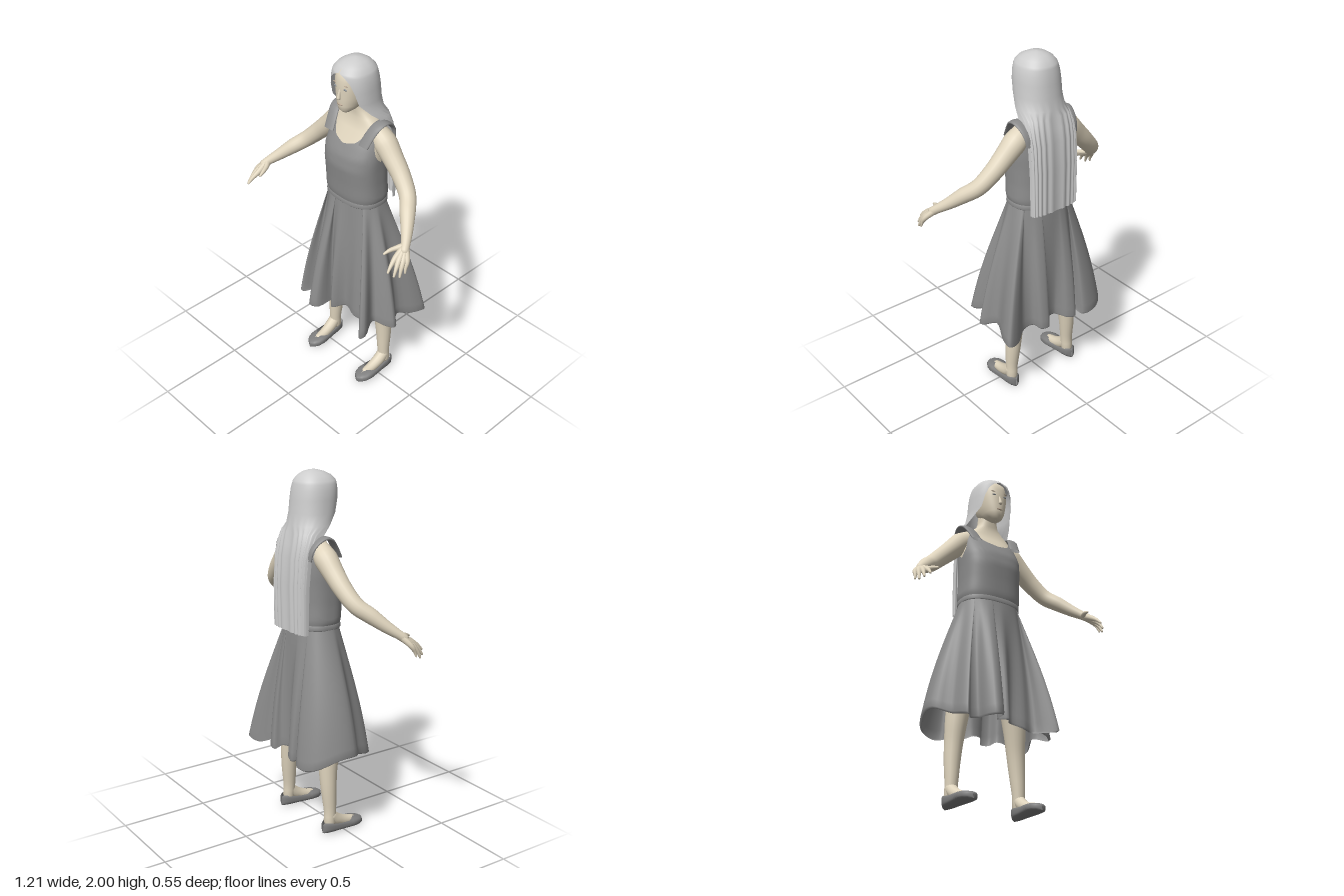
import * as THREE from 'three';

const V = (x, y, z) => new THREE.Vector3(x, y, z);
const mat = (name, color, side = THREE.FrontSide) => {
  const m = new THREE.MeshStandardMaterial({ color, side });
  m.name = name;
  return m;
};

// Skin between rows of points; rows run upward, columns counterclockwise
function loft(rows, closed = true) {
  const n = rows[0].length, pos = [], idx = [];
  rows.forEach(r => r.forEach(p => pos.push(p.x, p.y, p.z)));
  for (let i = 0; i < rows.length - 1; i++) {
    for (let j = 0; j < (closed ? n : n - 1); j++) {
      const k = (j + 1) % n, a = i * n + j, b = i * n + k;
      idx.push(a, b, a + n, b, b + n, a + n);
    }
  }
  const g = new THREE.BufferGeometry();
  g.setAttribute('position', new THREE.Float32BufferAttribute(pos, 3));
  g.setIndex(idx);
  g.computeVertexNormals();
  return g;
}

// Point on a rounded horizontal section; angle a starts at +z and turns to +x
const pw = (v, p) => Math.sign(v) * Math.pow(Math.abs(v), p);
function sect(y, w, zF, zB, a, p = 0.8) {
  return V(w * pw(Math.sin(a), p), y, (zF + zB) / 2 + (zF - zB) / 2 * pw(Math.cos(a), p));
}
const angles = n => Array.from({ length: n }, (_, i) => i / n * Math.PI * 2);
const rings = (rows, n, p) => loft(rows.map(r => angles(n).map(a => sect(...r, a, p))));

// Piecewise-linear lookup in rows keyed by their first number
function lookup(table, t) {
  let i = 0;
  while (i < table.length - 2 && t > table[i + 1][0]) i++;
  const a = table[i], b = table[i + 1];
  const f = THREE.MathUtils.clamp((t - a[0]) / (b[0] - a[0]), 0, 1);
  return a.map((v, k) => v + (b[k] - v) * f);
}

// Tapered round limb through [x, y, z, radius] points, with rounded ends
function limb(pts, seg = 20, sides = 14) {
  const curve = new THREE.CatmullRomCurve3(pts.map(p => V(p[0], p[1], p[2])));
  const fr = curve.computeFrenetFrames(seg), rows = [];
  const ring = (c, r, i) => angles(sides).map(a => c.clone()
    .addScaledVector(fr.normals[i], r * Math.cos(a)).addScaledVector(fr.binormals[i], r * Math.sin(a)));
  for (let i = 0; i <= seg; i++) {
    const t = i / seg, u = curve.getUtoTmapping(t) * (pts.length - 1);
    const k = Math.min(Math.floor(u), pts.length - 2);
    const r = THREE.MathUtils.lerp(pts[k][3], pts[k + 1][3], u - k), c = curve.getPointAt(t);
    const end = s => [[0.75, 0.55], [0.001, 0.8]].map(([q, d]) =>
      ring(c.clone().addScaledVector(fr.tangents[i], s * d * r), r * q, i));
    if (i === 0) rows.push(...end(-1).reverse());
    rows.push(ring(c, r, i));
    if (i === seg) rows.push(...end(1));
  }
  return loft(rows);
}

// Torso sections: y, half width, front z, back z
const TORSO = [
  [1.18, 0.172, 0.065, -0.175], [1.21, 0.182, 0.074, -0.182], [1.3, 0.178, 0.08, -0.178],
  [1.4, 0.178, 0.09, -0.18], [1.47, 0.18, 0.08, -0.18], [1.53, 0.175, 0.05, -0.176],
  [1.6, 0.165, 0.005, -0.165], [1.66, 0.15, -0.03, -0.13]];
// Height of the dress edge by angle from the front: neckline, strap, armhole, strap, back
const EDGE = [[0, 1.53], [0.35, 1.55], [0.7, 1.61], [1.0, 1.62], [1.3, 1.5], [1.57, 1.45],
  [1.85, 1.5], [2.1, 1.61], [2.4, 1.62], [2.7, 1.58], [3.15, 1.56]];
// Skirt hem with its folds: x, z, y
const HEM = [
  [0, .15, .46], [.05, .085, .47], [.13, .1, .45], [.19, .09, .44], [.23, .15, .43], [.285, .2, .43],
  [.3, .17, .44], [.26, .07, .47], [.33, .04, .46], [.37, 0, .45], [.31, -.07, .47], [.355, -.19, .44],
  [.36, -.255, .43], [.29, -.24, .42], [.21, -.19, .45], [.15, -.2, .46], [.13, -.25, .45], [.08, -.26, .45],
  [.06, -.22, .47], [0, -.2, .47], [-.03, -.22, .46], [-.06, -.255, .45], [-.11, -.265, .44], [-.14, -.2, .46],
  [-.16, -.27, .44], [-.23, -.275, .43], [-.31, -.235, .45], [-.37, -.11, .5], [-.37, -.01, .5], [-.29, .05, .47],
  [-.27, .13, .45], [-.25, .16, .44], [-.2, .09, .45], [-.15, .09, .46], [-.145, .17, .45], [-.11, .22, .45],
  [-.06, .2, .46], [-.04, .1, .47]];
// Hair sections: y, half width, front z, back z, opening angle at the face
const HAIR = [
  [1.15, .15, -.15, -.218, 1.5], [1.4, .152, -.14, -.22, 1.5], [1.55, .152, -.12, -.212, 1.5],
  [1.62, .152, -.07, -.2, 1.5], [1.68, .145, .01, -.188, 1.5], [1.72, .133, .05, -.18, 1.25],
  [1.78, .124, .07, -.17, .88], [1.85, .122, .082, -.164, .76], [1.9, .117, .083, -.157, .58],
  [1.93, .109, .08, -.15, .32], [1.945, .103, .076, -.146, .02], [1.97, .083, .052, -.125, 0],
  [1.987, .056, .018, -.1, 0], [1.997, .026, -.016, -.07, 0], [2, .001, -.043, -.045, 0]];

export function createModel() {
  const root = new THREE.Group();
  const skin = mat('skin', 0xdfd4bd), lips = mat('lips', 0xb9a793), eyeGrey = mat('eye grey', 0x8d9297);
  const dress = mat('dress grey', 0x8c8c8c, THREE.DoubleSide);
  const shoe = mat('shoe grey', 0x7e7e7e, THREE.DoubleSide);
  const hairMat = mat('hair silver', 0xcdcdcd, THREE.DoubleSide);
  const add = (name, geo, m) => {
    const mesh = new THREE.Mesh(geo, m);
    mesh.name = name;
    root.add(mesh);
    return mesh;
  };
  const blob = (name, m, pos, size) => {
    const b = add(name, new THREE.SphereGeometry(1, 14, 10), m);
    b.position.set(...pos);
    b.scale.set(...size);
  };

  // Chest, shoulders and neck
  const chest = TORSO.slice(2, 7).map(([y, w, f, b]) => [y, w - .008, f - .008, b + .008]);
  add('chestAndNeck', rings([...chest, [1.635, .135, -.015, -.14], [1.665, .1, -.022, -.13],
    [1.695, .066, -.022, -.125], [1.73, .053, -.015, -.12], [1.78, .05, -.01, -.12]], 40), skin);

  // Head and face
  add('head', rings([[1.712, .002, .03, .026], [1.716, .022, .05, 0], [1.732, .042, .066, -.04],
    [1.76, .06, .072, -.1], [1.8, .073, .073, -.13], [1.85, .082, .074, -.14], [1.9, .082, .074, -.14],
    [1.94, .075, .063, -.13], [1.97, .05, .03, -.1]], 40, .9), skin);
  add('nose', limb([[0, 1.855, .068, .006], [0, 1.825, .076, .008], [0, 1.805, .08, .011]], 8, 10), skin);
  blob('mouth', lips, [0, 1.768, .07], [.02, .006, .006]);
  for (const s of [1, -1]) {
    blob('eye', eyeGrey, [s * .034, 1.861, .067], [.014, .005, .004]);
    blob('eyebrow', lips, [s * .036, 1.882, .066], [.018, .003, .004]);
  }

  // Long hair: open at the face, falling in a sheet down the back
  add('hair', loft(HAIR.map(([y, w, f, b, o]) => Array.from({ length: 61 }, (_, i) => {
    const a = o + (2 * Math.PI - 2 * o) * i / 60, p = sect(y, w, f, b, a, y < 1.7 ? .65 : .9);
    if (y < 1.7) p.z += .004 * Math.sin(i * 1.3);
    return p;
  })), false), hairMat);

  // Sleeveless bodice with scooped neckline and armholes
  const bodice = [];
  for (let i = 0; i <= 18; i++) {
    bodice.push(angles(80).map(a => {
      const top = lookup(EDGE, a > Math.PI ? 2 * Math.PI - a : a)[1];
      return sect(...lookup(TORSO, 1.18 + (top - 1.18) * i / 18), a);
    }));
  }
  add('bodice', loft(bodice), dress);
  add('waistband', rings([[1.165, .176, .068, -.178], [1.17, .18, .072, -.182],
    [1.193, .179, .07, -.181], [1.198, .17, .064, -.174]], 48), dress);

  // Flared skirt: waist section blended into the folded hem, which turns in at the edge
  const hem = new THREE.CatmullRomCurve3(HEM.map(([x, z, y]) => V(x, y, z)), true);
  const skirt = [], n = HEM.length * 4;
  for (let i = 0; i <= 17; i++) {
    const t = Math.min(i / 16, 1), turn = i > 16 ? .965 : 1;
    const row = [];
    for (let j = 0; j < n; j++) {
      const h = hem.getPoint(j / n), a = Math.atan2(h.x, h.z + .055);
      const p = sect(1.18, .173, .066, -.176, a, .9).lerp(h, t);
      const k = (1 + .06 * Math.sin(Math.PI * t)) * turn;
      row.push(V(p.x * k, p.y - (i > 16 ? .01 : 0), (p.z + .055) * k - .055));
    }
    skirt.unshift(row);
  }
  add('skirt', loft(skirt), dress);

  for (const s of [1, -1]) {
    const m = pts => pts.map(([x, ...r]) => [s * x, ...r]);

    // Shoulder strap
    const path = new THREE.CatmullRomCurve3(m([[.128, 1.55, .03], [.14, 1.61, -.006], [.153, 1.652, -.042],
      [.158, 1.664, -.085], [.15, 1.64, -.13], [.142, 1.6, -.16], [.135, 1.55, -.17]]).map(p => V(...p)));
    const strap = [];
    for (let i = 0; i <= 20; i++) {
      const c = path.getPoint(i / 20), t = path.getTangent(i / 20);
      const nrm = V(0, -t.z, t.y).normalize();
      strap.push(angles(14).map(a => c.clone().addScaledVector(nrm, .01 * Math.sin(a))
        .add(V(.034 * Math.cos(a), 0, 0))));
    }
    add('strap', loft(strap), dress);

    // Arm
    add('arm', limb(m([[.12, 1.595, -.08, .055], [.175, 1.555, -.082, .064], [.24, 1.49, -.077, .056],
      [.31, 1.42, -.068, .05], [.385, 1.345, -.04, .045], [.44, 1.295, .015, .042],
      [.495, 1.24, .075, .032], [.535, 1.2, .125, .024], [.55, 1.18, .15, .024]]), 32, 18), skin);

    // Fingers, each running through the palm from the wrist
    const wrist = [.538, 1.197, .128, .02];
    const fingers = [
      [[.538, 1.155, .2, .016], [.545, 1.128, .24, .01], [.55, 1.103, .265, .006]],
      [[.558, 1.148, .195, .017], [.57, 1.115, .228, .01], [.576, 1.084, .248, .006]],
      [[.575, 1.143, .183, .016], [.586, 1.108, .208, .01], [.592, 1.076, .222, .006]],
      [[.588, 1.143, .167, .014], [.594, 1.113, .183, .009], [.599, 1.088, .19, .005]],
      [[.51, 1.185, .165, .014], [.494, 1.178, .2, .011], [.486, 1.168, .23, .006]]];
    fingers.forEach((f, i) => add(i === 4 ? 'thumb' : 'finger', limb(m([wrist, ...f]), 14, 10), skin));

    // Leg and foot
    add('leg', limb(m([[.09, 1.08, -.06, .09], [.12, .9, -.06, .088], [.16, .65, -.068, .072],
      [.185, .47, -.074, .06], [.195, .35, -.08, .05], [.202, .25, -.08, .044],
      [.208, .12, -.075, .034], [.21, .06, -.078, .034]]), 30, 18), skin);
    add('foot', limb(m([[.21, .1, -.075, .034], [.209, .065, -.035, .034], [.206, .04, .02, .03],
      [.204, .03, .08, .024]]), 14, 14), skin);

    // Slip-on shoe: z, half width, height, opening angle over the instep
    const shoeRows = [[-.127, .004, .05, .3], [-.122, .02, .068, .5], [-.105, .034, .074, .8],
      [-.07, .041, .07, 1.05], [-.02, .044, .062, 1.1], [.03, .05, .056, .95], [.055, .053, .054, .5],
      [.075, .053, .052, .05], [.105, .047, .046, 0], [.128, .032, .04, 0], [.14, .012, .032, 0], [.143, .001, .025, 0]];
    add('shoe', loft(shoeRows.map(([z, w, h, o]) => Array.from({ length: 33 }, (_, i) => {
      const a = o + (2 * Math.PI - 2 * o) * i / 32;
      return V(s * (.21 - z * .03) - w * pw(Math.sin(a), .8), h / 2 + h / 2 * pw(Math.cos(a), .7), z);
    })), false), shoe);
  }
  return root;
}
